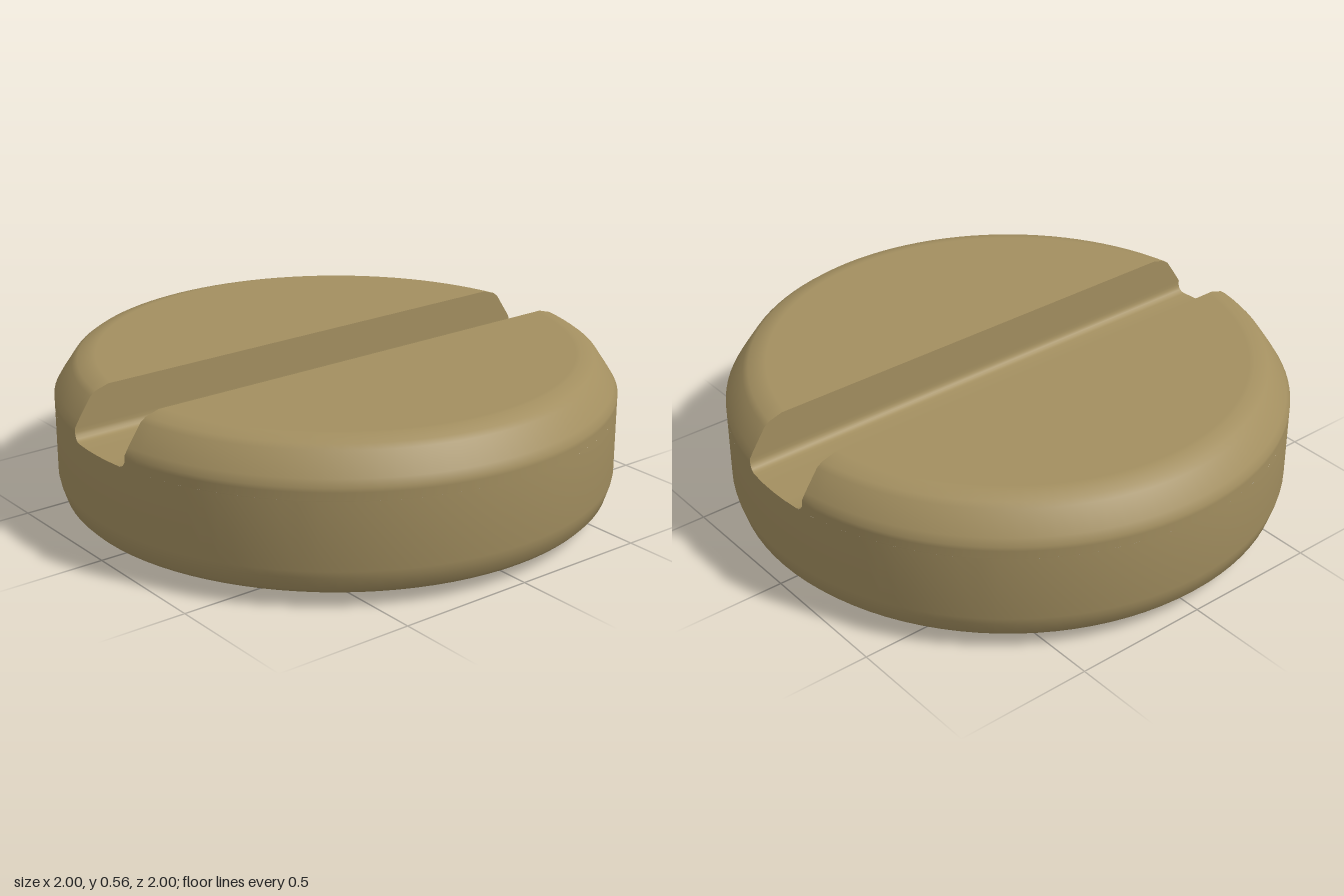
import * as THREE from 'three';
import { mergeGeometries, toCreasedNormals } from 'three/addons/utils/BufferGeometryUtils.js';

const SEGMENTS = 96;
const FLOOR_Y = 0.38;
const SLOT_HALF = 0.155;
const FILLET = 0.03;

// Surface through rows of points, two triangles per cell
function gridSurface(rows) {
  const pos = [];
  for (let i = 0; i < rows.length - 1; i++) {
    for (let j = 0; j < rows[i].length - 1; j++) {
      const a = rows[i][j], b = rows[i][j + 1];
      const c = rows[i + 1][j + 1], d = rows[i + 1][j];
      pos.push(...a, ...d, ...c, ...a, ...c, ...b);
    }
  }
  const g = new THREE.BufferGeometry();
  g.setAttribute('position', new THREE.Float32BufferAttribute(pos, 3));
  return g;
}

// Levels above the slot floor: radius r, height y, slot half-width w
function upperLevels() {
  const levels = [];
  for (let k = 0; k <= 4; k++) {
    const a = (k / 4) * Math.PI / 2;
    levels.push({
      r: 1,
      y: FLOOR_Y + FILLET * (1 - Math.cos(a)),
      w: SLOT_HALF - FILLET * (1 - Math.sin(a)),
    });
  }
  const profile = [[1, 0.425], [0.985, 0.45], [0.935, 0.525], [0.915, 0.54], [0.865, 0.555], [0.85, 0.555]];
  for (const [r, y] of profile) levels.push({ r, y, w: SLOT_HALF });
  return levels;
}

// One half of the head beside the slot: curved side, bevel and flat top
function halfHead(levels) {
  const n = SEGMENTS / 2;
  const rows = levels.map(({ r, y, w }) => {
    const start = Math.asin(w / r);
    return Array.from({ length: n + 1 }, (_, j) => {
      const t = start + (j / n) * (Math.PI - 2 * start);
      return [r * Math.cos(t), y, r * Math.sin(t)];
    });
  });
  rows.push(rows[rows.length - 1].map(([x, y]) => [x, y, SLOT_HALF]));
  return gridSurface(rows);
}

// Slot walls, rounded corners and floor, swept along x
function slotSurface(levels) {
  const side = levels.slice(0, -1);
  const section = [
    ...side.map(({ r, y, w }) => ({ r, y, z: -w })).reverse(),
    ...[-0.06, 0, 0.06].map((z) => ({ r: 1, y: FLOOR_Y, z })),
    ...side.map(({ r, y, w }) => ({ r, y, z: w })),
  ];
  return gridSurface(section.map(({ r, y, z }) => {
    const x = Math.sqrt(r * r - z * z);
    return [[-x, y, z], [x, y, z]];
  }));
}

// Solid round base up to the slot floor
function baseSurface() {
  const profile = [
    [0, 0], [0.84, 0], [0.86, 0.003], [0.88, 0.01], [0.965, 0.052],
    [0.98, 0.068], [0.995, 0.115], [1, 0.14], [1, FLOOR_Y],
  ].map(([x, y]) => new THREE.Vector2(x, y));
  const g = new THREE.LatheGeometry(profile, SEGMENTS).toNonIndexed();
  g.deleteAttribute('uv');
  g.deleteAttribute('normal');
  return g;
}

export function createModel() {
  const brass = new THREE.MeshStandardMaterial({ color: 0xa38f60 });
  brass.name = 'brass';

  const levels = upperLevels();
  const parts = {
    base: baseSurface(),
    frontHalf: halfHead(levels),
    backHalf: halfHead(levels).rotateY(Math.PI),
    slot: slotSurface(levels),
  };

  // Merged so that shading runs smoothly over the joins
  const head = new THREE.Mesh(toCreasedNormals(mergeGeometries(Object.values(parts)), 0.75), brass);
  head.name = 'slottedHead';

  const model = new THREE.Group();
  model.name = 'slottedDisc';
  model.add(head);
  return model;
}
